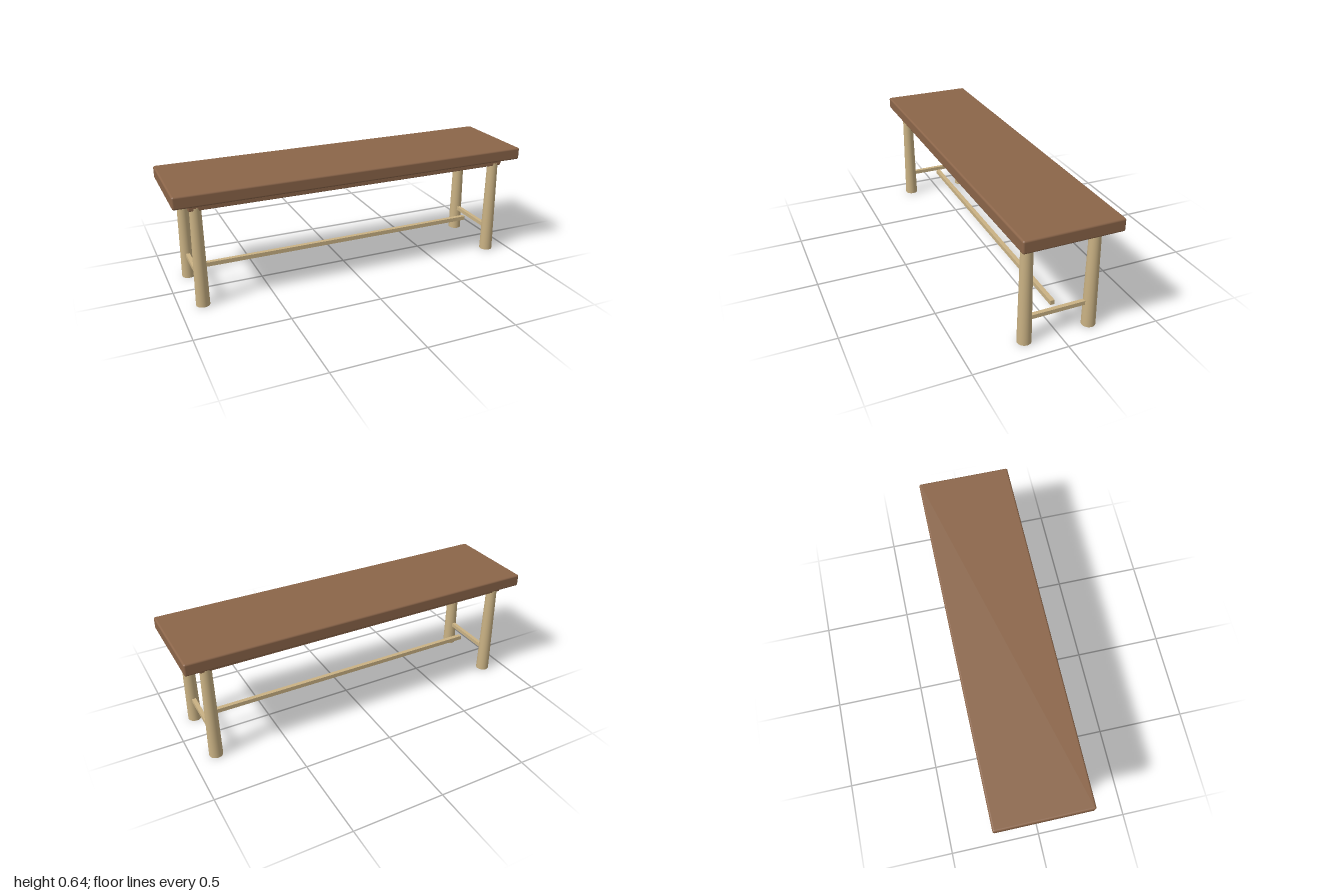
import * as THREE from 'three';
import { RoundedBoxGeometry } from 'three/addons/geometries/RoundedBoxGeometry.js';

export function createModel() {
  const bench = new THREE.Group();
  bench.name = 'bench';
  const darkWood = new THREE.MeshStandardMaterial({ color: 0x8b6549 });
  darkWood.name = 'darkWood';
  const paleWood = new THREE.MeshStandardMaterial({ color: 0xcab284 });
  paleWood.name = 'paleWood';

  function add(name, geometry, material, x, y, z) {
    const mesh = new THREE.Mesh(geometry, material);
    mesh.name = name;
    mesh.position.set(x, y, z);
    bench.add(mesh);
  }

  // Seat slab and the smaller support slab just beneath it
  add('seat', new RoundedBoxGeometry(2, 0.068, 0.52, 3, 0.01), darkWood, 0, 0.611, 0);
  add('seatSupport', new RoundedBoxGeometry(1.83, 0.038, 0.412, 2, 0.004), darkWood, 0, 0.556, 0);

  // Tapered round legs, joined in pairs by a short rail at each end
  const legGeometry = new THREE.CylinderGeometry(0.03, 0.037, 0.55, 24);
  const railGeometry = new THREE.BoxGeometry(0.022, 0.022, 0.32);
  for (const [sx, side] of [[1, 'left'], [-1, 'right']]) {
    add(side + 'FrontLeg', legGeometry, paleWood, sx * 0.877, 0.275, 0.179);
    add(side + 'BackLeg', legGeometry, paleWood, sx * 0.877, 0.275, -0.179);
    add(side + 'EndRail', railGeometry, paleWood, sx * 0.877, 0.139, 0);
  }

  // Long central stretcher
  add('stretcher', new THREE.BoxGeometry(1.644, 0.024, 0.024), paleWood, 0, 0.139, 0);

  return bench;
}
